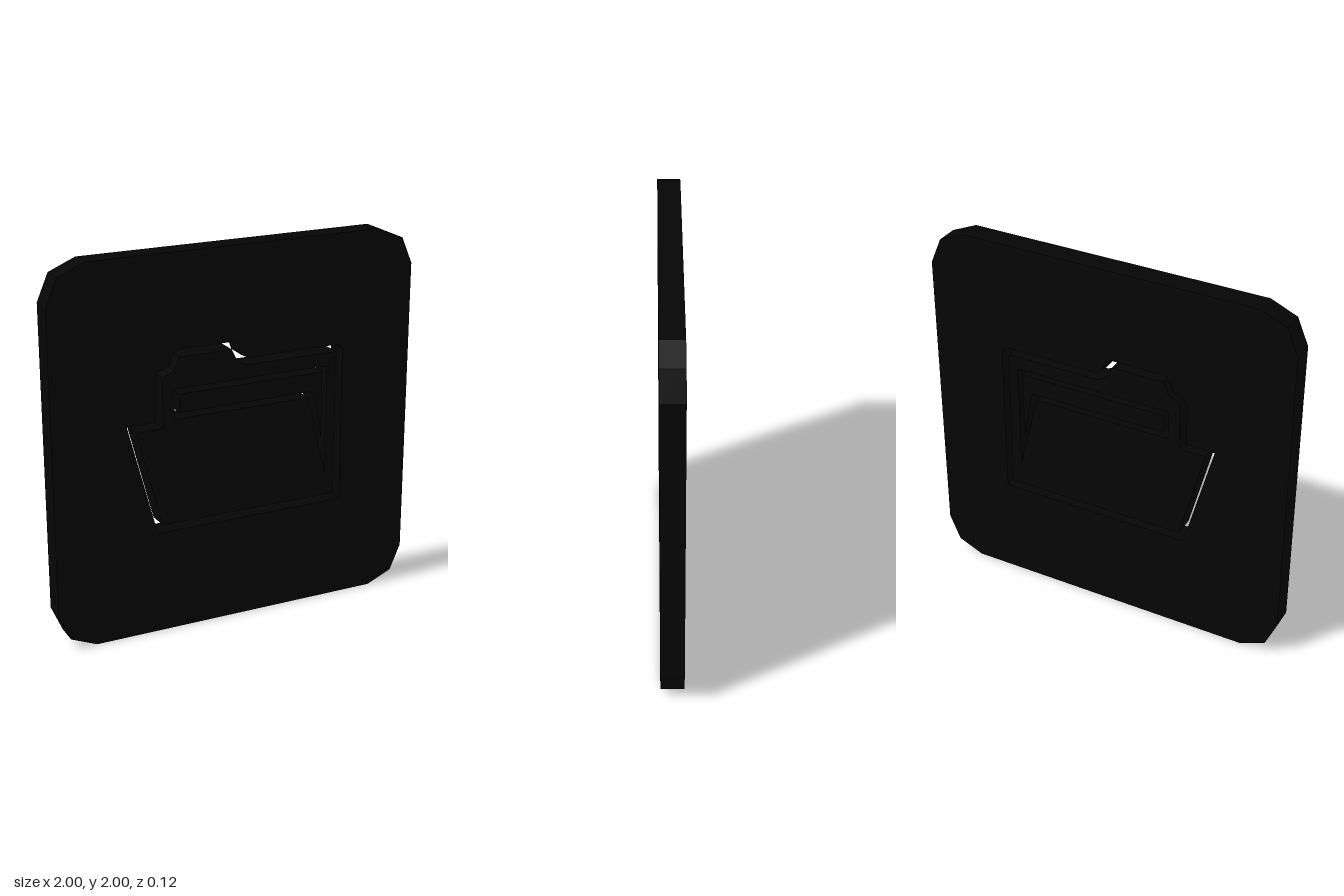
import * as THREE from 'three';

const DEPTH = 0.12;
const toPoints = (list) => list.map(([x, y]) => new THREE.Vector2(x, y));

// Rounded-off square of the plate, three facets per corner
const plateOutline = [
  [0.8, 0], [0.94, 0.06], [1, 0.2], [1, 1.8], [0.94, 1.94], [0.8, 2],
  [-0.8, 2], [-0.94, 1.94], [-1, 1.8], [-1, 0.2], [-0.94, 0.06], [-0.8, 0],
];

// Folder-shaped opening in the plate
const folderOpening = [
  [-0.452, 0.55], [0.602, 0.55], [0.602, 1.388], [0.575, 1.415], [0.056, 1.415],
  [0.02, 1.433], [0, 1.493], [-0.03, 1.51], [-0.32, 1.51], [-0.355, 1.493],
  [-0.377, 1.43], [-0.432, 1.408], [-0.452, 1.382], [-0.452, 1.147], [-0.608, 1.147],
];

// Folder body, leaving an even gap inside the opening
const folderOutline = [
  [-0.425, 0.59], [0.565, 0.59], [0.565, 1.378], [0.05, 1.378], [0, 1.4],
  [-0.035, 1.47], [-0.323, 1.47], [-0.35, 1.404], [-0.414, 1.378],
  [-0.414, 1.11], [-0.559, 1.11],
];

// Window in the folder and the sheet that sits in it
const sheetOpening = [
  [-0.352, 1.15], [0.405, 1.15], [0.51, 0.72], [0.51, 1.307], [-0.352, 1.307],
];
const sheetOutline = [
  [-0.323, 1.18], [0.43, 1.18], [0.484, 0.917], [0.484, 1.278], [-0.323, 1.278],
];

export function createModel() {
  const group = new THREE.Group();
  const material = new THREE.MeshStandardMaterial({ color: 0x050505 });

  function addSlab(name, outline, opening) {
    const shape = new THREE.Shape(toPoints(outline));
    if (opening) shape.holes.push(new THREE.Path(toPoints(opening)));
    const geometry = new THREE.ExtrudeGeometry(shape, { depth: DEPTH, bevelEnabled: false });
    geometry.translate(0, 0, -DEPTH / 2);
    const mesh = new THREE.Mesh(geometry, material);
    mesh.name = name;
    group.add(mesh);
  }

  addSlab('plate', plateOutline, folderOpening);
  addSlab('folder', folderOutline, sheetOpening);
  addSlab('sheet', sheetOutline);
  return group;
}
